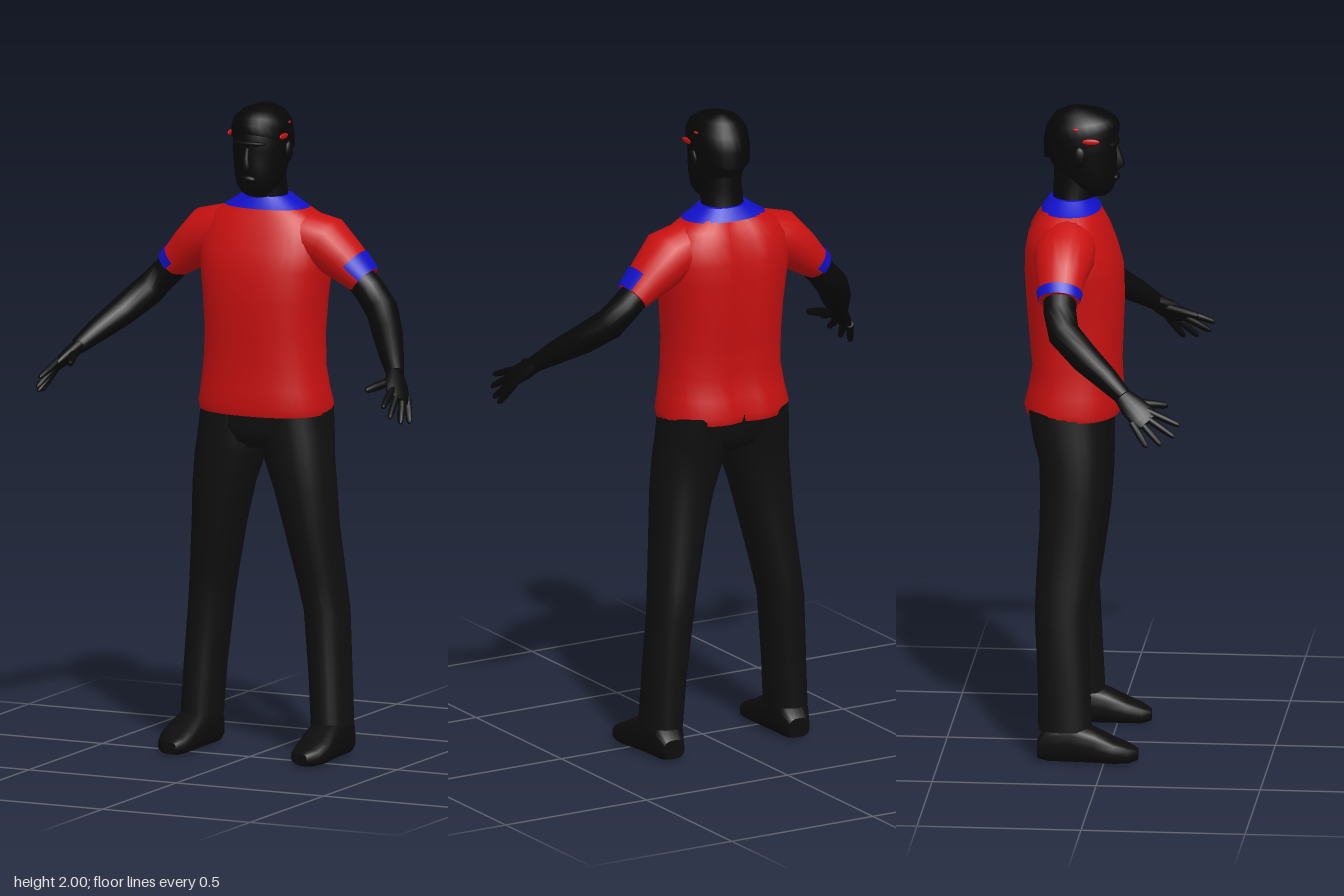
import * as THREE from 'three';

const mat = (name, color, side = THREE.FrontSide) => {
  const m = new THREE.MeshStandardMaterial({ color, side });
  m.name = name;
  return m;
};
const V = (x, y, z) => new THREE.Vector3(x, y, z);
const Y = V(0, 1, 0), Z = V(0, 0, 1);

// Lofts elliptical rings [x, y, z, ra, rb] along a path; `axis` fixes the ring
// normal, otherwise it follows the path. `power` squares off the ellipse.
function loft(rings, { ref = Y, axis = null, n = 20, power = 2, arc = null, deform = null } = {}) {
  const pos = [], idx = [];
  const cols = arc ? n + 1 : n;
  const centres = rings.map(r => V(r[0], r[1], r[2]));
  const soft = v => Math.sign(v) * Math.pow(Math.abs(v), 2 / power);
  rings.forEach((r, i) => {
    const t = axis ? axis.clone() : centres[Math.min(i + 1, rings.length - 1)].clone()
      .sub(centres[Math.max(i - 1, 0)]).normalize();
    const a = t.clone().cross(ref).normalize(), b = a.clone().cross(t);
    for (let j = 0; j < cols; j++) {
      const q = arc ? arc[0] + (arc[1] - arc[0]) * j / n : j / n * Math.PI * 2;
      const p = centres[i].clone()
        .addScaledVector(a, r[3] * soft(Math.cos(q)))
        .addScaledVector(b, r[4] * soft(Math.sin(q)));
      if (deform) deform(p);
      pos.push(p.x, p.y, p.z);
    }
  });
  for (let i = 0; i < rings.length - 1; i++) {
    for (let j = 0; j < n; j++) {
      const k = (j + 1) % cols, A = i * cols + j, B = A + cols, C = (i + 1) * cols + k, D = i * cols + k;
      idx.push(A, B, C, A, C, D);
    }
  }
  // Flat caps with their own corners keep the ends crisp
  if (!arc) {
    for (const i of [0, rings.length - 1]) {
      const base = pos.length / 3;
      const mid = V(0, 0, 0);
      for (let j = 0; j < n; j++) {
        const o = (i * n + j) * 3;
        mid.add(V(pos[o], pos[o + 1], pos[o + 2]));
        pos.push(pos[o], pos[o + 1], pos[o + 2]);
      }
      mid.divideScalar(n);
      pos.push(mid.x, mid.y, mid.z);
      for (let j = 0; j < n; j++) {
        const k = (j + 1) % n;
        if (i === 0) idx.push(base + n, base + j, base + k);
        else idx.push(base + n, base + k, base + j);
      }
    }
  }
  const g = new THREE.BufferGeometry();
  g.setAttribute('position', new THREE.Float32BufferAttribute(pos, 3));
  g.setIndex(idx);
  g.computeVertexNormals();
  return g;
}

export function createModel() {
  const model = new THREE.Group();
  model.name = 'standingMan';
  const skin = mat('skin', 0x080808), hairMat = mat('hair', 0x060606);
  const shirt = mat('shirtRed', 0xc81010), trim = mat('trimBlue', 0x1010c8, THREE.DoubleSide);
  const cloth = mat('trousers', 0x0f0f0f), leather = mat('shoes', 0x0c0c0c);

  const add = (name, geo, material) => {
    const m = new THREE.Mesh(geo, material);
    m.name = name;
    model.add(m);
    return m;
  };
  const ball = (name, material, p, s) => {
    const m = add(name, new THREE.SphereGeometry(1, 14, 10), material);
    m.position.set(...p);
    m.scale.set(...s);
  };
  const level = { axis: Y, ref: Z, n: 28 };
  // Horizontal ring from height, half width, front z and back z
  const ring = (y, w, front, back) => [0, y, (front + back) / 2, w, (front - back) / 2];

  // Shirt body with a shallow groove down the spine
  add('shirtBody', loft([
    ring(1.055, 0.205, 0.033, -0.258), ring(1.08, 0.21, 0.038, -0.264), ring(1.13, 0.2, 0.036, -0.252),
    ring(1.2, 0.19, 0.032, -0.24), ring(1.3, 0.186, 0.036, -0.25), ring(1.4, 0.192, 0.04, -0.258),
    ring(1.5, 0.204, 0.036, -0.264), ring(1.56, 0.21, 0.018, -0.262), ring(1.62, 0.2, -0.005, -0.252),
    ring(1.66, 0.17, -0.025, -0.228), ring(1.69, 0.12, -0.042, -0.206), ring(1.712, 0.085, -0.055, -0.19),
  ], {
    ...level, n: 36, power: 2.4,
    deform: p => { if (p.z < -0.17) p.z += 0.016 * Math.exp(-((p.x / 0.035) ** 2)); },
  }), shirt);
  add('collar', loft([
    ring(1.684, 0.136, -0.03, -0.212), ring(1.7, 0.108, -0.043, -0.202), ring(1.72, 0.08, -0.055, -0.187),
  ], { ...level, power: 2.2 }), trim);

  // Neck, head and face
  add('neck', loft([
    ring(1.68, 0.075, -0.055, -0.185), ring(1.72, 0.066, -0.052, -0.178),
    ring(1.77, 0.063, -0.04, -0.175), ring(1.83, 0.06, -0.04, -0.175),
  ], level), skin);
  add('head', loft([
    ring(1.725, 0.028, -0.015, -0.09), ring(1.736, 0.046, 0, -0.1), ring(1.76, 0.065, 0.012, -0.13),
    ring(1.79, 0.075, 0.018, -0.16), ring(1.83, 0.081, 0.02, -0.185), ring(1.87, 0.085, 0.018, -0.198),
    ring(1.91, 0.087, 0.022, -0.202), ring(1.95, 0.08, 0.01, -0.19), ring(1.98, 0.055, -0.03, -0.16),
    ring(1.993, 0.02, -0.07, -0.12),
  ], level), skin);
  add('nose', loft([
    [0, 1.805, 0.018, 0.011, 0.008], [0, 1.82, 0.021, 0.016, 0.022],
    [0, 1.85, 0.019, 0.009, 0.014], [0, 1.88, 0.014, 0.006, 0.008],
  ], { ...level, n: 12 }), skin);
  ball('lips', skin, [0, 1.783, 0.015], [0.026, 0.012, 0.012]);
  ball('brow', skin, [0, 1.893, 0.006], [0.055, 0.01, 0.02]);
  // Hairline is higher at the forehead than at the nape
  add('hair', loft([
    [0, 1.88, -0.09, 0.09, 0.115], [0, 1.92, -0.09, 0.091, 0.116], [0, 1.955, -0.092, 0.084, 0.105],
    [0, 1.985, -0.095, 0.06, 0.075], [0, 2, -0.1, 0.022, 0.03],
  ], { ...level, deform: p => { p.y += 0.35 * (p.z + 0.1) * (2 - p.y) / 0.12; } }), hairMat);
  ball('hairFleckFront', shirt, [0, 1.972, -0.004], [0.012, 0.006, 0.004]);

  for (const s of [1, -1]) {
    const side = s > 0 ? 'left' : 'right';
    const part = (name, rings, opts, material) =>
      add(side + name, loft(rings.map(r => [r[0] * s, ...r.slice(1)]), opts), material);

    ball(side + 'Ear', skin, [0.088 * s, 1.862, -0.09], [0.011, 0.032, 0.02]);
    ball(side + 'HairFleck', shirt, [0.088 * s, 1.912, -0.055], [0.005, 0.009, 0.028]);
    ball(side + 'HairFleckSmall', shirt, [0.08 * s, 1.948, -0.1], [0.008, 0.005, 0.013]);

    // Sleeve with a partial blue cuff
    part('Sleeve', [
      [0.1, 1.61, -0.12, 0.085, 0.075], [0.2, 1.58, -0.125, 0.094, 0.083],
      [0.26, 1.53, -0.13, 0.076, 0.068], [0.325, 1.475, -0.13, 0.061, 0.048],
    ], {}, shirt);
    const up = s > 0 ? 0.048 : 0.025;
    part('CuffTrim', [
      [0.327 - up, 1.473 + up * 0.85, -0.13, 0.064 + up * 0.24, 0.052 + up * 0.31],
      [0.327, 1.473, -0.13, 0.064, 0.052],
    ], { arc: s > 0 ? [0.2, 2.2] : [-0.3, 3.3] }, trim);

    // Arm, palm and fingers
    part('Arm', [
      [0.28, 1.51, -0.13, 0.05, 0.044], [0.345, 1.447, -0.125, 0.05, 0.046],
      [0.395, 1.392, -0.108, 0.05, 0.049], [0.45, 1.332, -0.038, 0.046, 0.045],
      [0.5, 1.28, 0.035, 0.037, 0.036], [0.538, 1.238, 0.088, 0.027, 0.026],
    ], {}, skin);
    part('Palm', [
      [0.53, 1.245, 0.078, 0.022, 0.026], [0.555, 1.215, 0.115, 0.022, 0.04],
      [0.577, 1.187, 0.15, 0.016, 0.044], [0.586, 1.175, 0.167, 0.009, 0.036],
    ], { ref: V(-0.04 * s, 0.035, 0.06).normalize(), n: 16 }, skin);
    const first = V(0.567, 1.198, 0.178), last = V(0.599, 1.163, 0.126);
    const tips = [[0.582, 1.165, 0.262], [0.598, 1.132, 0.248], [0.615, 1.11, 0.208], [0.624, 1.105, 0.165]];
    const finger = (name, base, tip, r) => {
      const at = f => base.clone().lerp(tip, f);
      part(name, [[-0.2, r], [0.5, r * 0.95], [0.9, r * 0.75], [1, r * 0.35]]
        .map(([f, w]) => [...at(f).toArray(), w, w]), { n: 10 }, skin);
    };
    tips.forEach((t, i) => finger('Finger' + (i + 1), first.clone().lerp(last, i / 3), V(...t), 0.0115));
    finger('Thumb', V(0.535, 1.22, 0.125), V(0.502, 1.205, 0.218), 0.014);

    // Trouser leg
    part('TrouserLeg', [
      [0.221, 0.1, -0.12, 0.059, 0.082], [0.212, 0.25, -0.125, 0.061, 0.08],
      [0.196, 0.45, -0.134, 0.066, 0.081], [0.181, 0.55, -0.125, 0.07, 0.088],
      [0.157, 0.7, -0.11, 0.08, 0.095], [0.138, 0.82, -0.104, 0.093, 0.1],
      [0.116, 0.92, -0.104, 0.107, 0.105], [0.107, 0.98, -0.113, 0.109, 0.114],
      [0.1, 1.08, -0.122, 0.105, 0.122],
    ], { ...level, power: 2.2 }, cloth);

    // Shoe, lofted from heel to toe
    part('Shoe', [
      [0.222, -0.203, 0.07, 0.06], [0.222, -0.17, 0.052, 0.12], [0.223, -0.1, 0.055, 0.13],
      [0.226, -0.03, 0.058, 0.105], [0.229, 0.03, 0.059, 0.074], [0.226, 0.075, 0.048, 0.056],
      [0.222, 0.102, 0.022, 0.034],
    ].map(([x, z, w, h], i) => [x, h / 2 + (i === 0 || i === 6 ? 0.008 : 0), z, i ? w : 0.036, h / 2]),
    { axis: Z, ref: Y, power: 2.8 }, leather);
  }

  // Seat of the trousers
  add('trouserSeat', loft([
    ring(0.945, 0.06, -0.04, -0.17), ring(0.97, 0.17, -0.01, -0.215),
    ring(1.01, 0.212, 0.002, -0.236), ring(1.08, 0.204, 0.003, -0.248),
  ], { ...level, power: 2.4 }), cloth);
  return model;
}
